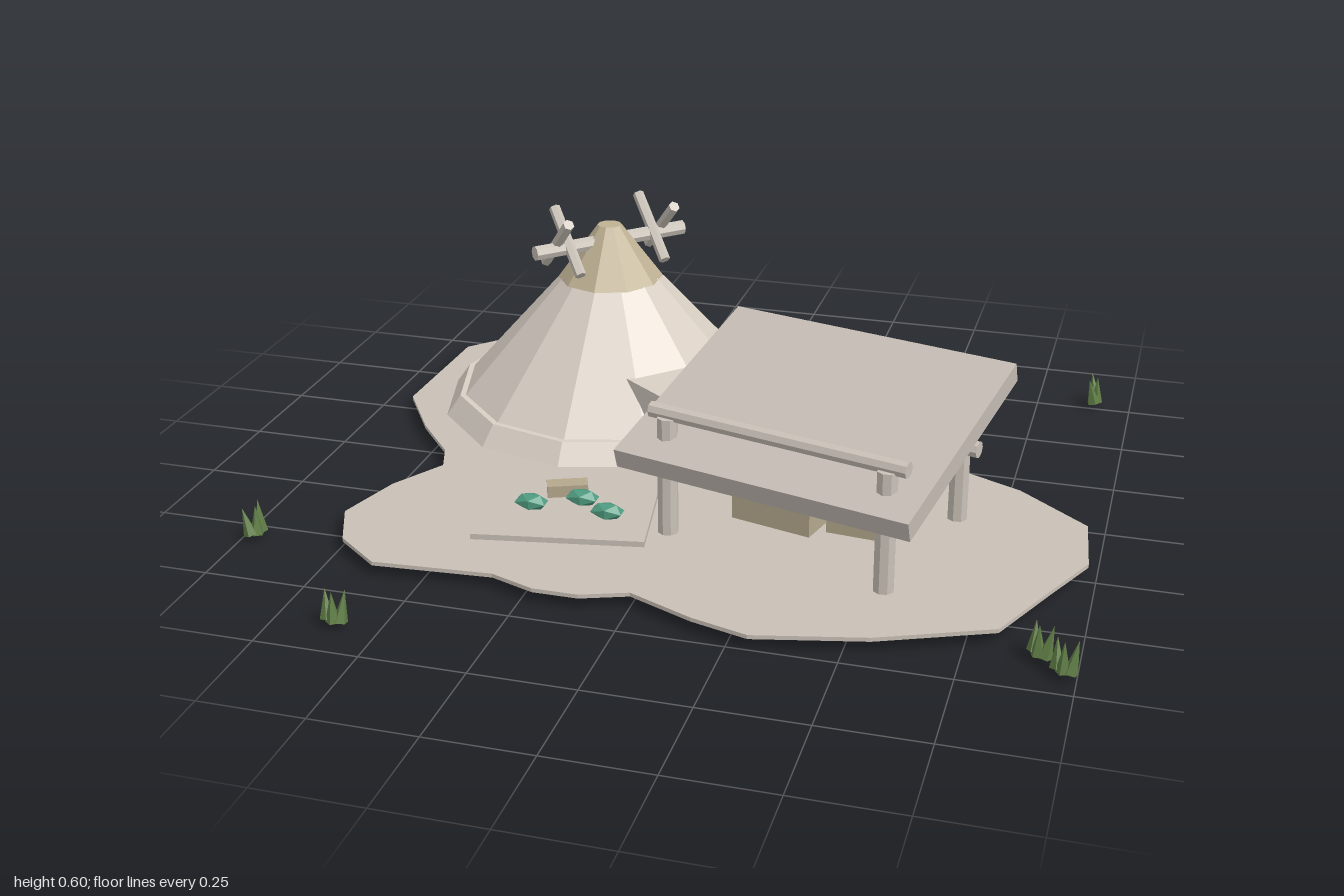
import * as THREE from 'three';

const mat = (name, color) => {
  const m = new THREE.MeshStandardMaterial({ color, flatShading: true });
  m.name = name;
  return m;
};

export function createModel() {
  const model = new THREE.Group();
  const earth = mat('packed earth', 0xc9c0b6);
  const plaster = mat('pale plaster', 0xd9cfc5);
  const wood = mat('weathered wood', 0xcac2b8);
  const roofing = mat('roof slab', 0xc4bcb3);
  const thatch = mat('thatch', 0xbfb193);
  const crateMat = mat('crate tan', 0xb5a88c);
  const dark = mat('doorway dark', 0x352c25);
  const leaf = mat('teal leaf', 0x4f9a80);
  const grass = mat('grass green', 0x5f7d45);

  const add = (name, geo, m, x = 0, y = 0, z = 0, ry = 0, parent = model) => {
    const mesh = new THREE.Mesh(geo, m);
    mesh.name = name;
    mesh.position.set(x, y, z);
    mesh.rotation.y = ry;
    parent.add(mesh);
    return mesh;
  };
  const group = (name, x, y, z, ry = 0) => {
    const g = new THREE.Group();
    g.name = name;
    g.position.set(x, y, z);
    g.rotation.y = ry;
    model.add(g);
    return g;
  };
  const box = (w, h, d) => new THREE.BoxGeometry(w, h, d);
  // Round pole between two points
  const pole = (name, a, b, r, parent, sides = 8) => {
    const from = new THREE.Vector3(...a), to = new THREE.Vector3(...b);
    const dir = to.clone().sub(from);
    const mesh = add(name, new THREE.CylinderGeometry(r, r, dir.length(), sides), wood, 0, 0, 0, 0, parent);
    mesh.position.copy(from).add(to).multiplyScalar(0.5);
    mesh.quaternion.setFromUnitVectors(new THREE.Vector3(0, 1, 0), dir.normalize());
  };

  // Ground plate with an irregular outline
  const outline = [
    [-0.91, -0.25], [-0.9, -0.63], [-0.78, -0.76], [-0.62, -0.86], [-0.45, -0.93], [-0.28, -0.925],
    [-0.1, -0.915], [0.06, -0.83], [0.16, -0.7], [0.21, -0.51], [0.18, -0.305], [0.31, -0.305],
    [0.5, -0.24], [0.78, -0.11], [0.96, 0.04], [0.98, 0.23], [0.91, 0.38], [0.82, 0.58],
    [0.56, 0.69], [0.3, 0.75], [0.16, 0.71], [0, 0.64], [-0.11, 0.68], [-0.22, 0.68],
    [-0.33, 0.64], [-0.62, 0.66], [-0.735, 0.57], [-0.79, 0.44], [-0.74, 0.27], [-0.66, 0.135],
    [-0.69, 0.05], [-0.8, -0.08],
  ].map(([x, z]) => new THREE.Vector2(x, z));
  const plate = new THREE.ExtrudeGeometry(new THREE.Shape(outline), { depth: 0.01, bevelEnabled: false });
  plate.rotateX(Math.PI / 2);
  add('ground', plate, earth, 0, 0.037, 0);

  // Conical hut: skirt, main cone, thatched cap
  const hut = group('hut', -0.374, 0, -0.39);
  const ring = (name, rTop, rBottom, y0, y1, m, sides = 12) =>
    add(name, new THREE.CylinderGeometry(rTop, rBottom, y1 - y0, sides), m, 0, (y0 + y1) / 2, 0, 0, hut);
  ring('skirt', 0.42, 0.485, 0, 0.09, plaster);
  ring('hutRoof', 0.13, 0.405, 0.09, 0.4, plaster);
  ring('thatchCap', 0.032, 0.14, 0.395, 0.54, thatch, 10);

  // Ridge beam with crossed poles at both ends; local x runs along the beam
  const ridge = group('ridge', -0.374, 0.495, -0.39, Math.PI / 4);
  pole('ridgeBeam', [-0.22, 0, 0], [0.22, 0, 0], 0.02, ridge);
  for (const s of [-1, 1]) {
    pole('crossPole', [s * 0.155, -0.055, -0.075], [s * 0.155, 0.09, 0.075], 0.015, ridge, 6);
    pole('crossPole', [s * 0.125, -0.055, 0.075], [s * 0.125, 0.09, -0.075], 0.015, ridge, 6);
  }

  // Entrance porch; local +z is the door side
  const porch = group('porch', -0.045, 0, -0.088, 0.93);
  add('porchBlock', box(0.18, 0.215, 0.28), plaster, 0, 0.1075, -0.14, 0, porch);
  add('doorway', box(0.12, 0.14, 0.008), dark, -0.024, 0.107, 0.001, 0, porch);

  // Storage bin at the side of the hut
  const bin = group('bin', 0.18, 0, -0.385, 0.22);
  add('binBox', box(0.22, 0.11, 0.118), plaster, 0, 0.075, 0, 0, bin);
  add('binLid', box(0.17, 0.006, 0.08), wood, 0.005, 0.132, 0, 0, bin);

  // Boulder and bush
  add('boulder', new THREE.IcosahedronGeometry(0.1, 0), plaster, 0.335, 0.08, -0.415, 0.4).scale.set(1, 0.8, 0.95);
  add('bush', new THREE.IcosahedronGeometry(0.085, 0), leaf, 0.495, 0.075, -0.36, 0.2).scale.set(1, 0.8, 0.9);

  // Open shelter with a sloping slab roof
  const shelter = group('shelter', 0.326, 0, 0.198, -0.258);
  const slab = add('shelterRoof', box(0.752, 0.05, 0.61), roofing, 0, 0.322, 0, 0, shelter);
  slab.rotation.x = 0.27;
  for (const s of [-1, 1]) {
    pole('frontPost', [s * 0.283, 0, 0.212], [s * 0.283, 0.335, 0.212], 0.025, shelter);
    pole('backPost', [s * 0.283, 0, -0.2], [s * 0.283, 0.23, -0.2], 0.025, shelter);
  }
  pole('frontBeam', [-0.33, 0.343, 0.205], [0.33, 0.343, 0.205], 0.02, shelter);
  pole('backBeam', [-0.33, 0.228, -0.2], [0.33, 0.228, -0.2], 0.021, shelter);

  // Crates under the shelter
  add('longCrate', box(0.21, 0.115, 0.1), crateMat, 0.24, 0.0775, 0.2, -0.258);
  add('shortCrate', box(0.155, 0.105, 0.12), crateMat, 0.445, 0.0725, 0.185, -0.1);

  // Garden bed with low plants and a small block
  add('gardenBed', box(0.415, 0.026, 0.305), earth, -0.263, 0.038, 0.31, 0.17);
  for (const [x, z] of [[-0.345, 0.337], [-0.233, 0.283], [-0.152, 0.337]]) {
    add('plant', new THREE.IcosahedronGeometry(0.045, 0), leaf, x, 0.073, z).scale.set(1, 0.48, 0.62);
  }
  add('gardenBlock', box(0.1, 0.03, 0.042), crateMat, -0.29, 0.066, 0.23, 0.38);

  // Grass tufts: leaning narrow cones around the edge
  const tufts = [
    [-0.97, 0.56, 1.2], [-0.605, 0.89, 0], [0.915, 0.62, -0.6], [0.972, 0.675, -0.3], [0.9, -0.77, 1.5],
  ];
  tufts.forEach(([x, z, ry]) => {
    const tuft = group('grassTuft', x, 0.015, z, ry);
    [-1, 0, 1].forEach((k) => {
      const blade = add('blade', new THREE.ConeGeometry(0.017, 0.07 + 0.008 * (k + 1) / 2, 5), grass,
        k * 0.02, 0.036, k === 0 ? 0.008 : -0.004, k, tuft);
      blade.rotation.z = -k * 0.22;
    });
  });

  return model;
}
